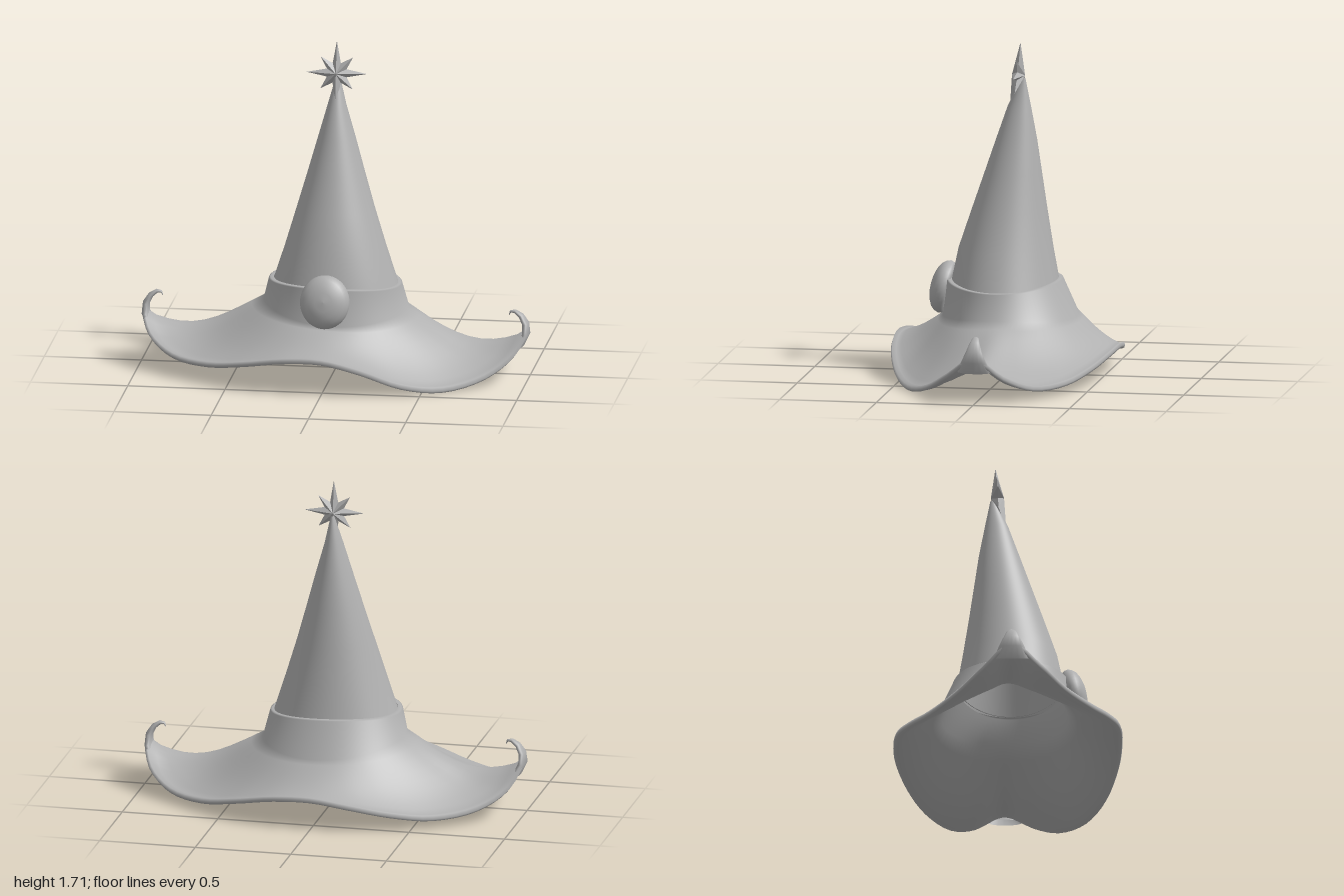
import * as THREE from 'three';

const N = 96;

// Skin through closed rings of points.
function loft(rings) {
  const n = rings[0].length, pos = [], idx = [];
  rings.forEach(r => r.forEach(p => pos.push(p.x, p.y, p.z)));
  for (let i = 0; i < rings.length - 1; i++) {
    for (let j = 0; j < n; j++) {
      const a = i * n + j, b = i * n + (j + 1) % n, c = a + n, d = b + n;
      idx.push(a, c, b, b, c, d);
    }
  }
  const g = new THREE.BufferGeometry();
  g.setAttribute('position', new THREE.Float32BufferAttribute(pos, 3));
  g.setIndex(idx);
  g.computeVertexNormals();
  return g;
}

function ring(fn, n = N) {
  return Array.from({ length: n }, (_, k) => fn((k / n) * Math.PI * 2, k / n));
}

export function createModel() {
  const hat = new THREE.Group();
  hat.name = 'pointedHat';
  const felt = new THREE.MeshStandardMaterial({ color: 0xb0b0b0, side: THREE.DoubleSide });
  felt.name = 'grey felt';
  const add = (name, geometry) => {
    const m = new THREE.Mesh(geometry, felt);
    m.name = name;
    hat.add(m);
    return m;
  };

  // Wavy brim edge: one quarter of the plan outline, mirrored, with heights all round
  const plan = [[0.995, 0], [0.943, 0.147], [0.81, 0.278], [0.61, 0.413], [0.41, 0.51], [0.2, 0.57], [0, 0.584]];
  const heights = [
    0.24, 0.145, 0.055, 0.015, 0.05, 0.135, 0.185, 0.18, 0.14, 0.105, 0.11, 0.18,
    0.275, 0.16, 0.08, 0.055, 0.085, 0.13, 0.16, 0.15, 0.105, 0.062, 0.065, 0.135];
  const edge = new THREE.CatmullRomCurve3(heights.map((y, i) => {
    const q = i % 12, [x, z] = plan[q <= 6 ? q : 12 - q];
    const sx = i > 6 && i < 18 ? -1 : 1, sz = i > 12 ? -1 : 1;
    return new THREE.Vector3(sx * x, y, sz * z);
  }), true);

  // Foot of the crown, where the brim starts, and the top of the band
  const foot = (t, inset = 0) => {
    const c = Math.cos(t);
    return new THREE.Vector3((0.37 - inset) * c, 0.31 + 0.04 * c * c - 0.0185 * c, -0.015 + (0.345 - inset) * Math.sin(t));
  };
  const bandTop = (t, inset, drop) => new THREE.Vector3((0.34 - inset) * Math.cos(t),
    0.472 - drop + 0.022 * Math.sin(t) ** 2 - 0.01 * Math.cos(t), 0.015 + (0.295 - inset) * Math.sin(t));

  // Brim ring at fraction s from foot to edge; it sags most towards the side tips
  const brimRing = (s, lift) => ring((t, u) => {
    const p = foot(t).lerp(edge.getPoint(u), s);
    p.y += lift - (0.02 + 0.075 * Math.cos(t) ** 6) * Math.sin(Math.PI * s ** 1.15);
    return p;
  });
  const steps = [0.1, 0.2, 0.3, 0.4, 0.5, 0.6, 0.7, 0.8, 0.9];

  // Brim and band as one thick shell: inside, underside, rolled rim, top, band, ledge
  add('brimAndBand', loft([
    ring(t => bandTop(t, 0.026, 0.012)),
    ring(t => foot(t, 0.022)),
    ...steps.map(s => brimRing(s, -0.024)),
    brimRing(0.98, -0.014), brimRing(1, 0), brimRing(0.98, 0.014),
    ...steps.map(s => brimRing(s, 0)).reverse(),
    ring(t => foot(t)),
    ring(t => bandTop(t, 0, 0)),
    ring(t => bandTop(t, 0.008, -0.005)),
    ring(t => bandTop(t, 0.026, -0.005))
  ]));

  // Leaning cone: [y, centre x, centre z, radius x, radius z]
  const cone = [
    [0.465, 0, 0.013, 0.32, 0.277], [0.65, 0, 0.01, 0.26, 0.242], [0.85, -0.002, -0.008, 0.199, 0.193],
    [1.04, -0.002, -0.027, 0.144, 0.147], [1.21, -0.002, -0.044, 0.096, 0.106],
    [1.38, -0.003, -0.058, 0.047, 0.061], [1.53, 0, -0.078, 0.008, 0.012]
  ].map(([y, cx, cz, rx, rz]) =>
    ring(t => new THREE.Vector3(cx + rx * Math.cos(t), y, cz + rz * Math.sin(t))));
  add('cone', loft(cone));

  // Curled hooks at the side tips: [x, y, half width in z, half thickness]
  const path = [[0.95, 0.17, 0.09, 0.02], [0.978, 0.225, 0.065, 0.02], [0.975, 0.275, 0.042, 0.018],
    [0.952, 0.315, 0.027, 0.014], [0.92, 0.337, 0.016, 0.01], [0.898, 0.335, 0.009, 0.006], [0.889, 0.315, 0.001, 0.001]];
  for (const side of [1, -1]) {
    const lift = side < 0 ? 0.037 : 0;
    const rings = path.map(([x, y, w, h], i) => {
      const a = path[Math.max(i - 1, 0)], b = path[Math.min(i + 1, path.length - 1)];
      const dir = new THREE.Vector2(b[0] - a[0], b[1] - a[1]).normalize();
      return ring(t => new THREE.Vector3(
        side * (x + dir.y * h * Math.cos(t)),
        y + lift - dir.x * h * Math.cos(t),
        side * w * Math.sin(t)), 16);
    });
    add(side > 0 ? 'leftHook' : 'rightHook', loft(rings));
  }

  // Domed oval ornament with a flat back, leaning against the band
  const dome = [[0.001, -0.035], [0.115, -0.035], [0.126, -0.018], [0.13, 0], [0.124, 0.02],
    [0.108, 0.04], [0.08, 0.056], [0.045, 0.066], [0, 0.07]];
  const ornament = add('frontOrnament',
    new THREE.LatheGeometry(dome.map(p => new THREE.Vector2(...p)), 40).rotateX(Math.PI / 2).scale(0.98, 1.06, 1));
  ornament.position.set(-0.011, 0.438, 0.33);
  ornament.rotation.x = -0.23;

  // Eight-pointed faceted star, its lowest point longer and reaching forward
  const outline = Array.from({ length: 16 }, (_, i) => {
    const r = i % 2 ? 0.055 : i % 4 ? 0.118 : i === 12 ? 0.175 : i === 4 ? 0.168 : 0.155;
    const a = (i * Math.PI) / 8;
    return [r * Math.cos(a), r * Math.sin(a), i === 12 ? 0.035 : 0];
  });
  const star = [];
  outline.forEach((p, i) => {
    const q = outline[(i + 1) % 16];
    star.push(...p, ...q, 0, 0, 0.034, ...q, ...p, 0, 0, -0.034);
  });
  const starGeo = new THREE.BufferGeometry();
  starGeo.setAttribute('position', new THREE.Float32BufferAttribute(star, 3));
  starGeo.computeVertexNormals();
  const starMesh = add('star', starGeo);
  starMesh.position.set(-0.004, 1.545, -0.054);
  starMesh.rotation.x = -0.06;

  return hat;
}
